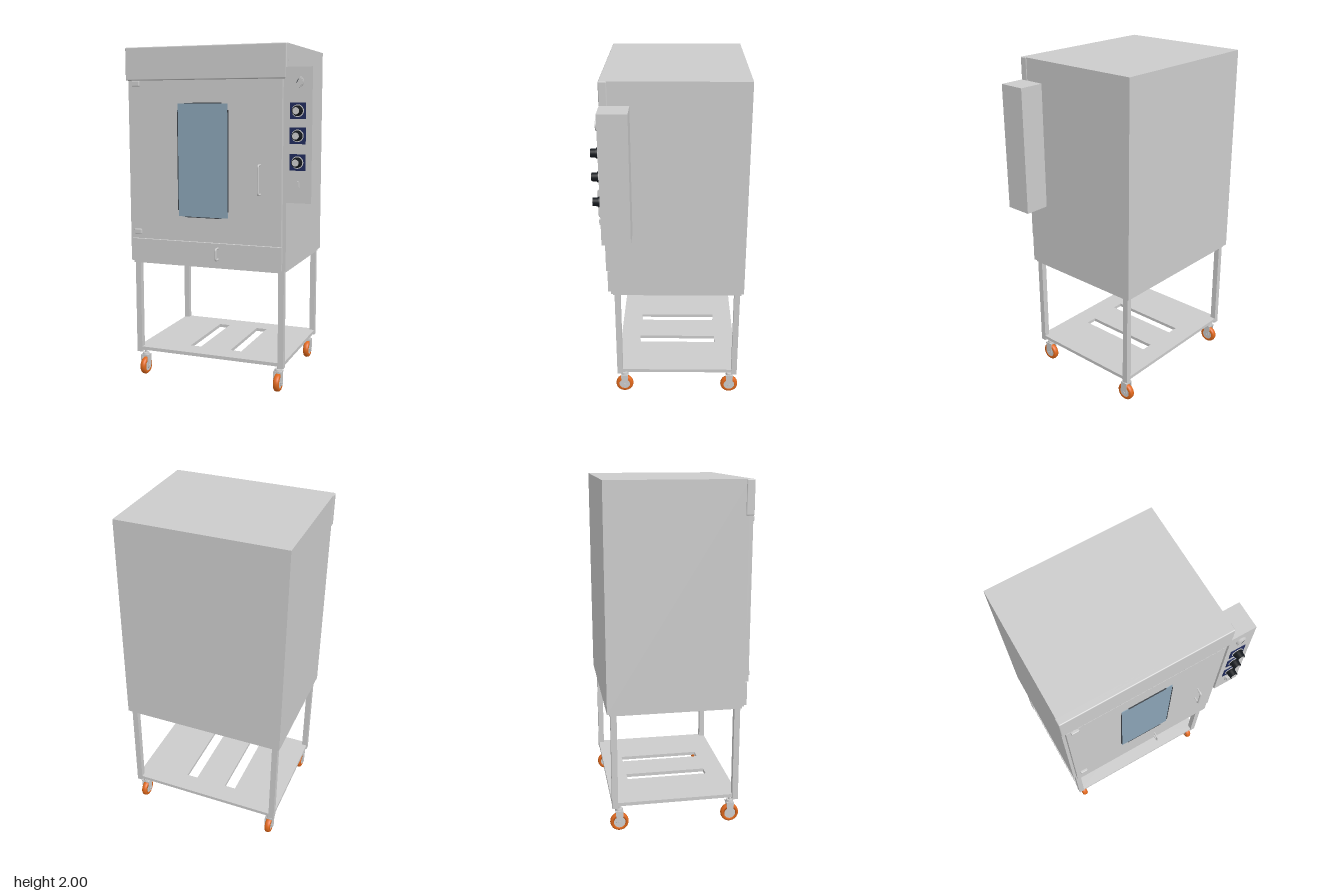
import * as THREE from 'three';
import { RoundedBoxGeometry } from 'three/addons/geometries/RoundedBoxGeometry.js';

const paint = (color) => new THREE.MeshStandardMaterial({ color });
const grey = paint(0xcccccc);
const orange = paint(0xe0681c);
const navy = paint(0x1f2a5c);
const black = paint(0x15191e);
const white = paint(0xf0f0f0);
const glass = paint(0x8aa3b5);
const dark = paint(0x3c4248);

function add(parent, name, geometry, material = grey, x = 0, y = 0, z = 0) {
  const mesh = new THREE.Mesh(geometry, material);
  mesh.name = name;
  mesh.position.set(x, y, z);
  parent.add(mesh);
  return mesh;
}

// Box given by its minimum and maximum on each axis
function box(parent, name, [x0, x1], [y0, y1], [z0, z1], material = grey, radius = 0) {
  const size = [x1 - x0, y1 - y0, z1 - z0];
  const geometry = radius ? new RoundedBoxGeometry(...size, 2, radius) : new THREE.BoxGeometry(...size);
  return add(parent, name, geometry, material, (x0 + x1) / 2, (y0 + y1) / 2, (z0 + z1) / 2);
}

// Cylinder whose axis points to the front
function disc(parent, name, r, [z0, z1], material, x, y, rFront = r) {
  const geometry = new THREE.CylinderGeometry(rFront, r, z1 - z0, 32).rotateX(Math.PI / 2);
  return add(parent, name, geometry, material, x, y, (z0 + z1) / 2);
}

// Bent rod standing off the front
function handle(parent, name, x, y0, y1, z0, z1, r) {
  const c = 0.012;
  const path = new THREE.CurvePath();
  const p = (y, z) => new THREE.Vector3(x, y, z);
  path.add(new THREE.LineCurve3(p(y0, z0), p(y0, z1 - c)));
  path.add(new THREE.QuadraticBezierCurve3(p(y0, z1 - c), p(y0, z1), p(y0 + c, z1)));
  path.add(new THREE.LineCurve3(p(y0 + c, z1), p(y1 - c, z1)));
  path.add(new THREE.QuadraticBezierCurve3(p(y1 - c, z1), p(y1, z1), p(y1, z1 - c)));
  path.add(new THREE.LineCurve3(p(y1, z1 - c), p(y1, z0)));
  add(parent, name, new THREE.TubeGeometry(path, 60, r, 10));
}

function rect(shape, x0, x1, y0, y1) {
  shape.moveTo(x0, y0);
  shape.lineTo(x1, y0);
  shape.lineTo(x1, y1);
  shape.lineTo(x0, y1);
  shape.closePath();
  return shape;
}

function makeCaster() {
  const caster = new THREE.Group();
  caster.name = 'caster';
  // Tyre profile turned about the axle, which lies along x
  const tyre = [[0.034, -0.017], [0.046, -0.017], [0.052, -0.011], [0.054, 0], [0.052, 0.011],
    [0.046, 0.017], [0.034, 0.017], [0.034, -0.017]].map(([r, h]) => new THREE.Vector2(r, h));
  add(caster, 'tyre', new THREE.LatheGeometry(tyre, 36).rotateZ(Math.PI / 2), orange, 0, 0.054, 0);
  add(caster, 'wheelHub', new THREE.CylinderGeometry(0.035, 0.035, 0.028, 28).rotateZ(Math.PI / 2), grey, 0, 0.054, 0);
  add(caster, 'axle', new THREE.CylinderGeometry(0.008, 0.008, 0.056, 12).rotateZ(Math.PI / 2), grey, 0, 0.054, 0);
  // Fork plates, rounded around the axle
  const plate = new THREE.Shape();
  plate.moveTo(-0.022, 0.125);
  plate.lineTo(-0.018, 0.054);
  plate.absarc(0, 0.054, 0.018, Math.PI, Math.PI * 2, false);
  plate.lineTo(0.022, 0.125);
  plate.closePath();
  for (const x of [-0.025, 0.02]) {
    const geometry = new THREE.ExtrudeGeometry(plate, { depth: 0.005, bevelEnabled: false });
    geometry.rotateY(Math.PI / 2);
    add(caster, 'forkPlate', geometry, grey, x, 0, 0);
  }
  box(caster, 'forkBridge', [-0.025, 0.025], [0.115, 0.125], [-0.022, 0.022]);
  add(caster, 'swivel', new THREE.CylinderGeometry(0.02, 0.022, 0.014, 24), grey, 0, 0.131, 0);
  add(caster, 'stem', new THREE.CylinderGeometry(0.008, 0.008, 0.03, 12), grey, 0, 0.145, 0);
  return caster;
}

export function createModel() {
  const model = new THREE.Group();
  model.name = 'ovenOnStand';

  // Cabinet
  const cabinet = new THREE.Group();
  cabinet.name = 'cabinet';
  model.add(cabinet);
  box(cabinet, 'body', [-0.563, 0.415], [0.735, 2], [-0.427, 0.354]);
  box(cabinet, 'hoodFront', [-0.567, 0.418], [1.81, 2], [0.335, 0.381], grey, 0.006);
  box(cabinet, 'drawerPanel', [-0.545, 0.395], [0.738, 0.873], [0.35, 0.373]);

  // Door with window, hinges and handles
  const door = new THREE.Group();
  door.name = 'door';
  model.add(door);
  box(door, 'doorPanel', [-0.545, 0.395], [0.878, 1.806], [0.35, 0.38]);
  box(door, 'windowPane', [-0.23, 0.076], [1.024, 1.676], [0.376, 0.384], glass);
  for (const y of [1.02, 1.676]) box(door, 'windowTrim', [-0.19, 0.038], [y, y + 0.004], [0.376, 0.386], dark);
  for (const x of [-0.234, 0.076]) box(door, 'windowTrim', [x, x + 0.004], [1.06, 1.64], [0.376, 0.386], dark);
  for (const y of [0.92, 1.79]) box(door, 'hinge', [-0.52, -0.475], [y - 0.014, y + 0.014], [0.37, 0.394], grey, 0.004);
  handle(door, 'doorHandle', 0.27, 1.17, 1.335, 0.375, 0.418, 0.006);
  handle(cabinet, 'drawerHandle', 0.01, 0.78, 0.845, 0.37, 0.408, 0.006);

  // Control box on the side
  const controls = new THREE.Group();
  controls.name = 'controls';
  model.add(controls);
  const cx = 0.485;
  box(controls, 'controlBox', [0.41, 0.565], [1.13, 1.87], [0.219, 0.38]);
  disc(controls, 'gaugeRim', 0.031, [0.378, 0.392], grey, cx, 1.79);
  disc(controls, 'gaugeFace', 0.026, [0.39, 0.394], white, cx, 1.79);
  const needle = box(controls, 'gaugeNeedle', [cx - 0.0015, cx + 0.0015], [1.782, 1.808], [0.393, 0.396], dark);
  needle.rotation.z = -0.5;
  for (const y of [1.635, 1.5, 1.355]) {
    box(controls, 'dialPlate', [cx - 0.045, cx + 0.045], [y - 0.045, y + 0.045], [0.378, 0.384], navy);
    disc(controls, 'dialRing', 0.034, [0.382, 0.387], white, cx, y);
    disc(controls, 'knobSkirt', 0.029, [0.385, 0.395], black, cx, y);
    disc(controls, 'knob', 0.025, [0.394, 0.426], black, cx, y, 0.023);
    disc(controls, 'knobCap', 0.019, [0.424, 0.427], grey, cx, y);
    const mark = box(controls, 'knobMark', [cx - 0.003, cx + 0.003], [y - 0.018, y + 0.018], [0.425, 0.428], white);
    mark.rotation.z = 0.6;
  }
  box(controls, 'switchBase', [cx - 0.016, cx + 0.016], [1.215, 1.257], [0.378, 0.387]);
  box(controls, 'switchRocker', [cx - 0.011, cx + 0.011], [1.221, 1.251], [0.385, 0.395], white);

  // Stand: top plate, legs, slotted shelf and casters
  const stand = new THREE.Group();
  stand.name = 'stand';
  model.add(stand);
  box(stand, 'topPlate', [-0.553, 0.403], [0.72, 0.736], [-0.413, 0.344]);
  const shelf = rect(new THREE.Shape(), -0.543, 0.398, -0.335, 0.405);
  for (const x of [-0.205, 0.06]) shelf.holes.push(rect(new THREE.Path(), x - 0.035, x + 0.035, -0.21, 0.28));
  const shelfGeometry = new THREE.ExtrudeGeometry(shelf, { depth: 0.02, bevelEnabled: false }).rotateX(-Math.PI / 2);
  add(stand, 'shelf', shelfGeometry, grey, 0, 0.165, 0);
  for (const [legX, casterX] of [[-0.53, -0.509], [0.383, 0.357]]) {
    for (const [legZ, casterZ] of [[0.319, 0.295], [-0.389, -0.363]]) {
      box(stand, 'leg', [legX - 0.017, legX + 0.017], [0.152, 0.722], [legZ - 0.017, legZ + 0.017]);
      const caster = makeCaster();
      caster.position.set(casterX, 0, casterZ);
      stand.add(caster);
    }
  }
  return model;
}
